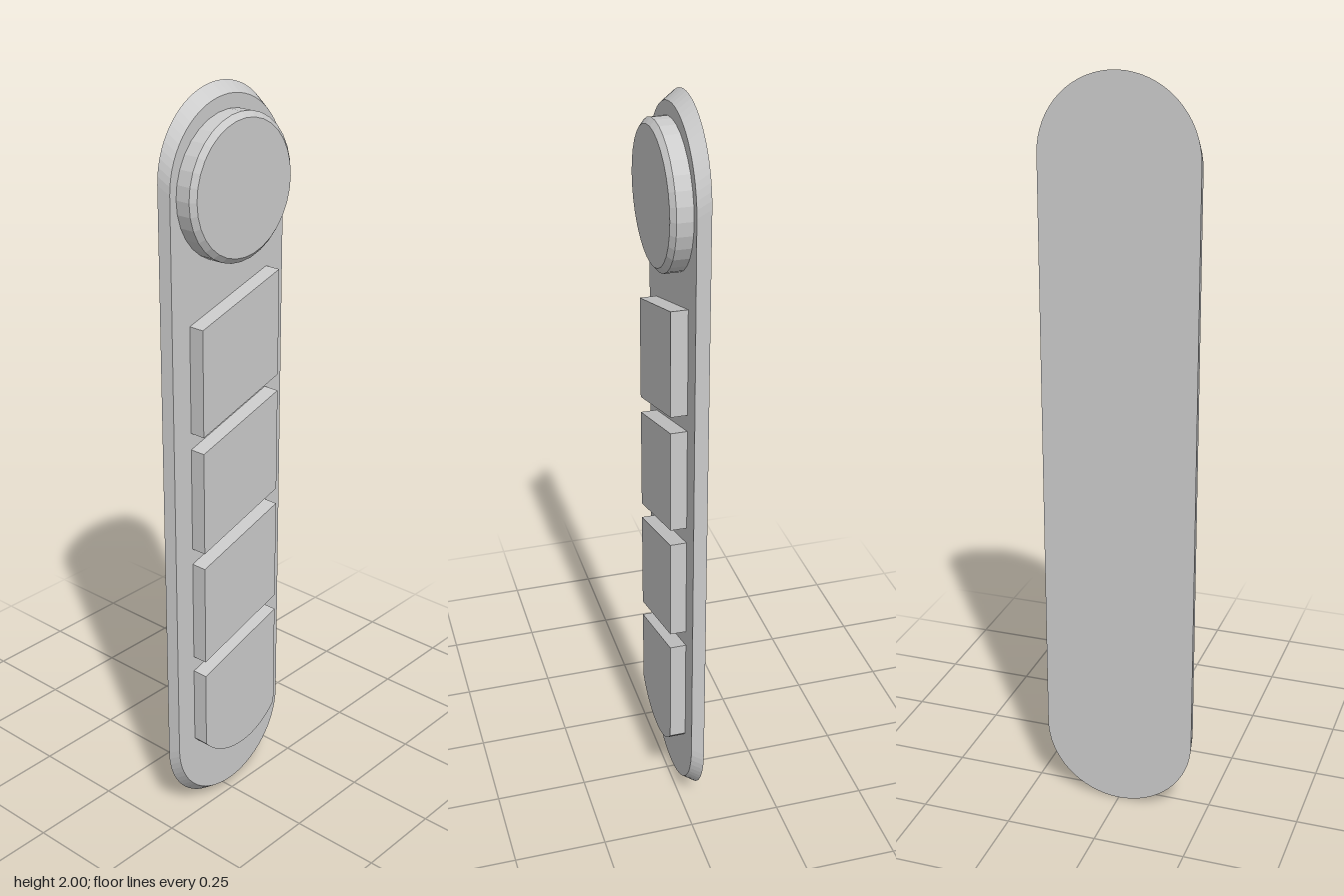
import * as THREE from 'three';

const material = new THREE.MeshStandardMaterial({ color: 0xcccccc, flatShading: true });
const SEAM = -0.011; // z of the plate's front face

function extrude(name, shape, z0, z1, curveSegments = 16) {
  const geometry = new THREE.ExtrudeGeometry(shape, { depth: z1 - z0, bevelEnabled: false, curveSegments });
  const mesh = new THREE.Mesh(geometry, material);
  mesh.name = name;
  mesh.position.z = z0;
  return mesh;
}

// Long rounded plate, tapering slightly toward its front face
function createPlate() {
  const r = 0.208, h = 1 - r, taper = 0.974;
  const shape = new THREE.Shape();
  shape.absarc(0, h, r, 0, Math.PI);
  shape.absarc(0, -h, r, Math.PI, Math.PI * 2);
  shape.closePath();
  const plate = extrude('plate', shape, -0.045, SEAM);
  const p = plate.geometry.attributes.position;
  for (let i = 0; i < p.count; i++) {
    if (p.getZ(i) > 0.01) p.setXY(i, p.getX(i) * taper, p.getY(i) * taper);
  }
  plate.geometry.computeVertexNormals();
  plate.position.y = 1;
  return plate;
}

// Round button with a chamfered front rim
function createButton() {
  const profile = [[0, SEAM], [0.182, SEAM], [0.182, 0.03], [0.168, 0.042], [0, 0.042]]
    .map(([r, z]) => new THREE.Vector2(r, z));
  const geometry = new THREE.LatheGeometry(profile, 32).rotateX(Math.PI / 2);
  const button = new THREE.Mesh(geometry, material);
  button.name = 'roundButton';
  button.position.y = 1.757;
  return button;
}

// Slanted key; the lowest one has a rounded bottom
function createKey(index, last) {
  const w = 0.141, slant = 0.086, height = 0.282;
  const top = 1.437 - index * 0.327;
  const shape = new THREE.Shape();
  shape.moveTo(w, top + slant);
  shape.lineTo(-w, top);
  if (last) {
    const r = 0.18, a = Math.acos(w / r);
    shape.absarc(0, 0.351, r, Math.PI + a, Math.PI * 2 - a);
  } else {
    shape.lineTo(-w, top - height);
    shape.lineTo(w, top + slant - height);
  }
  shape.closePath();
  return extrude(`key${index + 1}`, shape, SEAM, 0.032, 12);
}

export function createModel() {
  const model = new THREE.Group();
  model.name = 'remoteControl';
  model.add(createPlate(), createButton());
  for (let i = 0; i < 4; i++) model.add(createKey(i, i === 3));
  return model;
}
